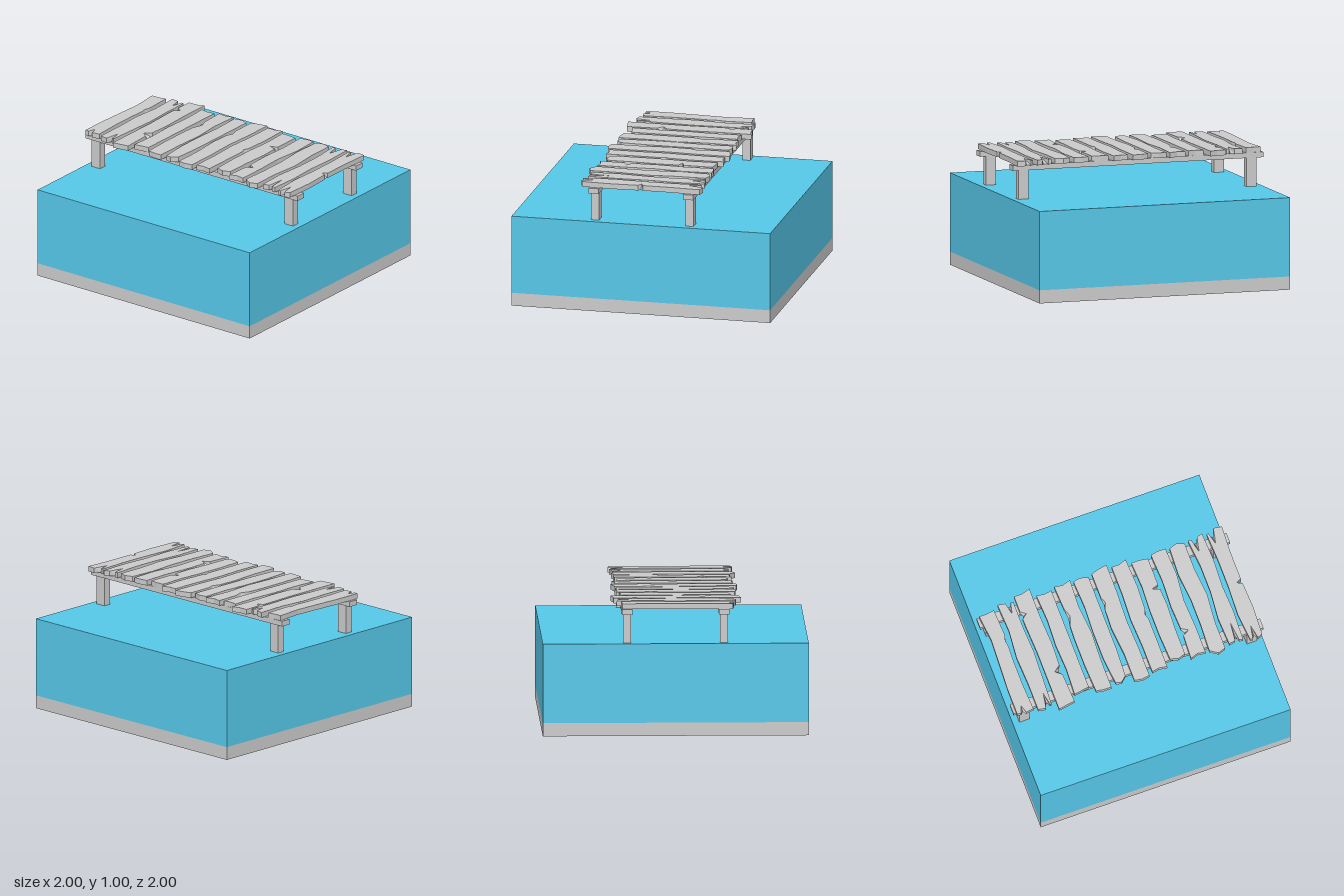
import * as THREE from 'three';

const wood = new THREE.MeshStandardMaterial({ color: 0xcccccc, flatShading: true });
const waterMat = new THREE.MeshStandardMaterial({ color: 0x56c8e9 });

function box(name, w, h, d, x, y, z, mat = wood) {
  const m = new THREE.Mesh(new THREE.BoxGeometry(w, h, d), mat);
  m.position.set(x, y, z);
  m.name = name;
  return m;
}

// One plank edge: evenly spaced offsets from a to b, with an optional V cut.
// Returns [along, across] pairs; inward is the direction a cut goes.
function edge(offsets, a, b, cut, inward, k) {
  const n = offsets.length - 1;
  const at = (p) => {
    const t = THREE.MathUtils.clamp((p - a) / (b - a), 0, 1) * n;
    const i = Math.min(Math.floor(t), n - 1);
    return THREE.MathUtils.lerp(offsets[i], offsets[i + 1], t - i);
  };
  let pts = offsets.map((v, i) => [a + (b - a) * i / n, v]);
  if (cut) {
    const [pos, depth, half] = cut;
    pts = pts.filter(([p], i) => i === 0 || i === n || Math.abs(p - pos) > half);
    pts.push([pos - half, at(pos - half)], [pos, at(pos) + inward * depth * k], [pos + half, at(pos + half)]);
    pts.sort((p, q) => p[0] - q[0]);
  }
  return pts;
}

// Closed plank outline in (x, z); k scales how deep the cuts go
function outline({ back, front, left, right, cuts = {} }, k) {
  const l = left, r = right;
  const B = edge(back, l[0], r[0], cuts.back, 1, k);
  const F = edge(front, l[2], r[2], cuts.front, -1, k).reverse();
  const R = edge(r, back[4], front[4], cuts.right, -1, k).slice(1, -1).map(([z, x]) => [x, z]);
  const L = edge(l, back[0], front[0], cuts.left, 1, k).slice(1, -1).reverse().map(([z, x]) => [x, z]);
  return [...B, ...R, ...F, ...L].map(([x, z]) => new THREE.Vector2(x / 100, z / 100));
}

// Loft between the top and bottom outlines so the cuts have sloping walls
function plank(spec) {
  const y0 = 0.96, y1 = 1.0;
  const top = outline(spec, 1), bottom = outline(spec, 0.4);
  const pos = [];
  const tri = (...v) => v.forEach(([p, y]) => pos.push(p.x, y, p.y));
  const cap = (pts, y, up) => {
    for (const [i, j, k] of THREE.ShapeUtils.triangulateShape(pts.slice(), [])) {
      const a = pts[i], b = pts[j], c = pts[k];
      const ccw = (b.x - a.x) * (c.y - a.y) - (b.y - a.y) * (c.x - a.x) > 0;
      if (ccw === up) tri([a, y], [c, y], [b, y]);
      else tri([a, y], [b, y], [c, y]);
    }
  };
  cap(top, y1, true);
  cap(bottom, y0, false);
  top.forEach((t, i) => {
    const j = (i + 1) % top.length;
    tri([t, y1], [top[j], y1], [bottom[i], y0]);
    tri([top[j], y1], [bottom[j], y0], [bottom[i], y0]);
  });
  const g = new THREE.BufferGeometry();
  g.setAttribute('position', new THREE.Float32BufferAttribute(pos, 3));
  g.computeVertexNormals();
  const m = new THREE.Mesh(g, wood);
  m.name = 'plank';
  return m;
}

export function createModel() {
  const model = new THREE.Group();
  model.name = 'pierOnWater';

  // Ground slab and water block
  model.add(box('ground', 2, 0.1, 2, 0, 0.05, 0));
  model.add(box('water', 2, 0.6, 2, 0, 0.4, 0, waterMat));

  // Long beams on posts
  for (const s of [-1, 1]) {
    model.add(box('beam', 0.08, 0.04, 2, s * 0.365, 0.94, 0));
    for (const e of [-1, 1]) model.add(box('post', 0.06, 0.82, 0.08, s * 0.365, 0.51, e * 0.91));
  }

  // Weathered planks, back to front, in hundredths; a cut is [position, depth, half width]
  const deck = new THREE.Group();
  deck.name = 'deck';
  const add = (back, front, left, right, cuts) => deck.add(plank({ back, front, left, right, cuts }));
  add([-98, -98, -97, -96, -98], [-85, -86, -86, -85, -86], [-43, -44, -43], [40, 40, 41], { left: [-93, 6, 2], front: [15, 1, 5] });
  add([-82, -82, -83, -81, -82], [-71, -70, -69, -70, -70], [-45, -46, -44], [44, 43, 42], { left: [-74, 11, 2], right: [-74, 9, 2] });
  add([-67, -67, -67, -68, -68], [-54, -55, -54, -55, -55], [-50, -49, -48], [46, 46, 48], { front: [-21, 5, 4], back: [30, 4, 3] });
  add([-52, -51, -52, -51, -52], [-40, -40, -40, -40, -40], [-43, -42, -41], [41, 40, 41]);
  add([-36, -37, -37, -36, -37], [-24, -24, -23, -25, -24], [-46, -47, -47], [43, 42, 44], { back: [17, 2.5, 7] });
  add([-20, -22, -22, -21, -22], [-11, -10, -10, -10, -10], [-45, -46, -42], [42, 43, 41]);
  add([-6, -6, -8, -7, -7], [6, 6, 5, 6, 6], [-48, -49, -48], [43, 45, 46], { back: [18, 2, 5] });
  add([9, 9, 8, 9, 9], [21, 21, 21, 22, 21], [-46, -45, -46], [43, 43, 45], { front: [-1, 1.5, 4] });
  add([25, 24, 24, 25, 24], [37, 37, 38, 37, 37], [-41, -43, -41], [41, 41, 40], { front: [16, 6, 2] });
  add([40, 41, 40, 41, 40], [52, 52, 51, 53, 52], [-46, -44, -45], [42, 43, 43], { back: [-24, 5, 3] });
  add([55, 56, 56, 54, 55], [67, 67, 69, 67, 67], [-45, -49, -47], [42, 44, 42]);
  add([71, 70, 72, 72, 70], [82, 83, 82, 83, 82], [-45, -44, -45], [43, 43, 45], { left: [77.5, 15, 1.5], right: [75, 11, 2.5] });
  add([87, 85, 86, 86, 85], [97, 98, 97, 97, 98], [-47, -48, -46], [43, 46, 45], { left: [91, 11, 2], right: [89, 11, 2.5], front: [-1, 4, 2] });
  model.add(deck);
  return model;
}
